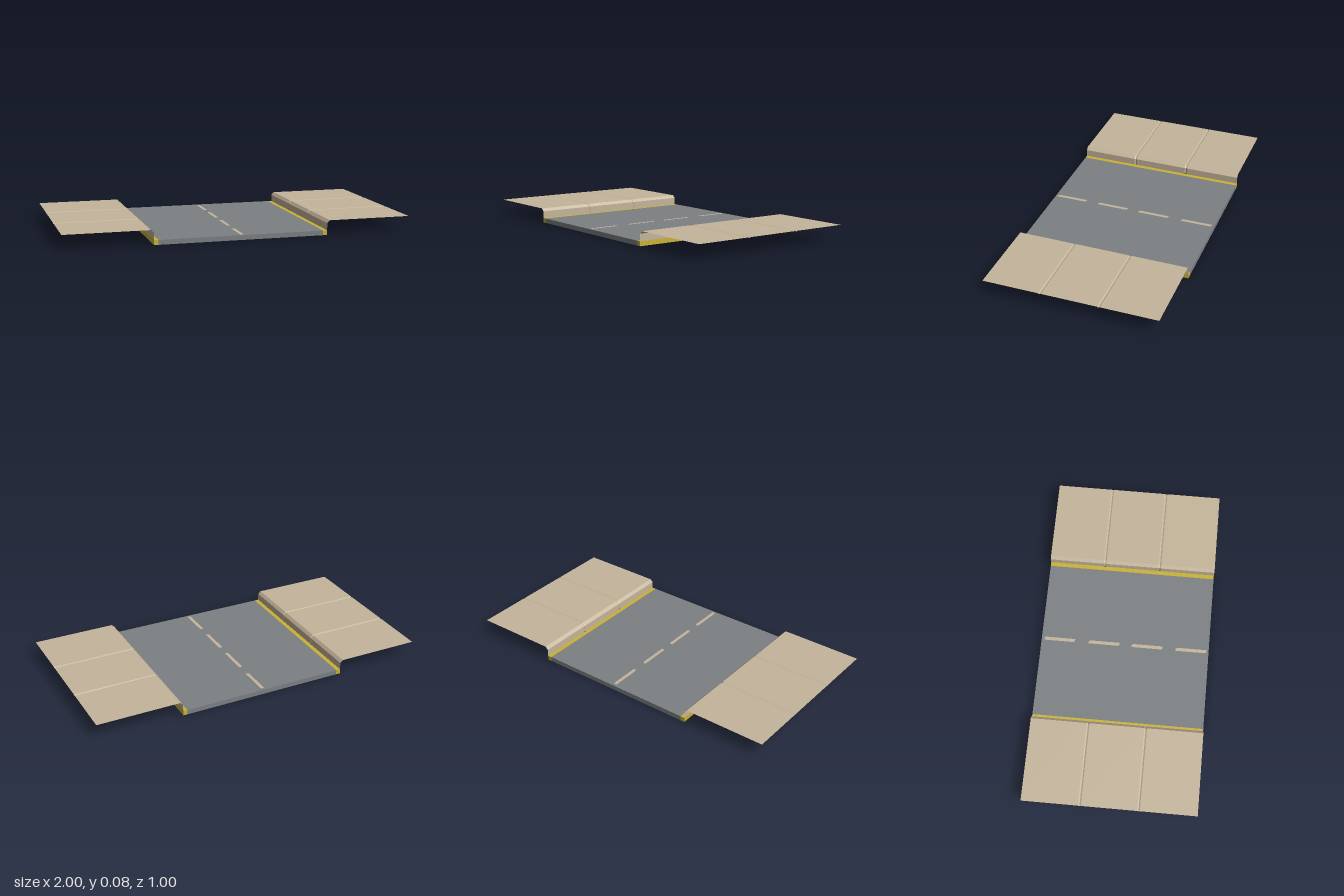
import * as THREE from 'three';

const asphalt = new THREE.MeshStandardMaterial({ color: 0x7c8082 });
asphalt.name = 'asphalt grey';
const yellow = new THREE.MeshStandardMaterial({ color: 0xc9b235 });
yellow.name = 'edge yellow';
const paving = new THREE.MeshStandardMaterial({ color: 0xc5b59b, side: THREE.DoubleSide });
paving.name = 'paving beige';

const ROAD_TOP = 0.027;

function add(parent, name, geometry, material, x = 0, y = 0, z = 0) {
  const mesh = new THREE.Mesh(geometry, material);
  mesh.name = name;
  mesh.position.set(x, y, z);
  parent.add(mesh);
  return mesh;
}

// Kerb and pavement sheet: one profile swept along z, sunk slightly at the joints.
function pavementGeometry(side) {
  const joint = 1 / 6, w = 0.008, depth = 0.004;
  const rows = [[-0.5, 0]];
  for (const z of [-joint, joint]) rows.push([z - w, 0], [z, depth], [z + w, 0]);
  rows.push([0.5, 0]);

  const positions = [], indices = [];
  for (const [z, d] of rows) {
    const profile = [[0.5 + d, ROAD_TOP], [0.5 + d, 0.068], [0.516 + d, 0.084 - d], [1, 0.084 - d]];
    for (const [x, y] of profile) positions.push(side * x, y, z);
  }
  for (let r = 0; r < rows.length - 1; r++) {
    for (let c = 0; c < 3; c++) {
      const a = r * 4 + c, b = a + 1, e = a + 4, f = a + 5;
      if (side > 0) indices.push(a, e, b, b, e, f);
      else indices.push(a, b, e, b, f, e);
    }
  }
  const indexed = new THREE.BufferGeometry();
  indexed.setAttribute('position', new THREE.Float32BufferAttribute(positions, 3));
  indexed.setIndex(indices);
  const geometry = indexed.toNonIndexed();
  geometry.computeVertexNormals();
  return geometry;
}

// Lane dash with clipped corners, lying flat.
function dashGeometry(length) {
  const h = length / 2, w = 0.01, c = 0.008;
  const shape = new THREE.Shape([
    [-w, -h + c], [-w + c, -h], [w, -h], [w, h - c], [w - c, h], [-w, h],
  ].map(([x, y]) => new THREE.Vector2(x, y)));
  return new THREE.ShapeGeometry(shape).rotateX(-Math.PI / 2);
}

export function createModel() {
  const group = new THREE.Group();
  group.name = 'road section';

  // Carriageway
  add(group, 'roadSlab', new THREE.BoxGeometry(0.95, ROAD_TOP, 1), asphalt, 0, ROAD_TOP / 2, 0);

  // Dashed centre line
  for (const z of [-0.392, -0.125, 0.132, 0.395]) {
    add(group, 'centreDash', dashGeometry(0.185), paving, 0.002, ROAD_TOP + 0.0005, z);
  }

  // Edge lines, kerbs and pavements on both sides
  for (const side of [1, -1]) {
    const label = side > 0 ? 'left' : 'right';
    add(group, label + 'EdgeLine', new THREE.BoxGeometry(0.025, ROAD_TOP, 1), yellow,
      side * 0.4875, ROAD_TOP / 2, 0);
    add(group, label + 'Pavement', pavementGeometry(side), paving);
  }
  return group;
}
